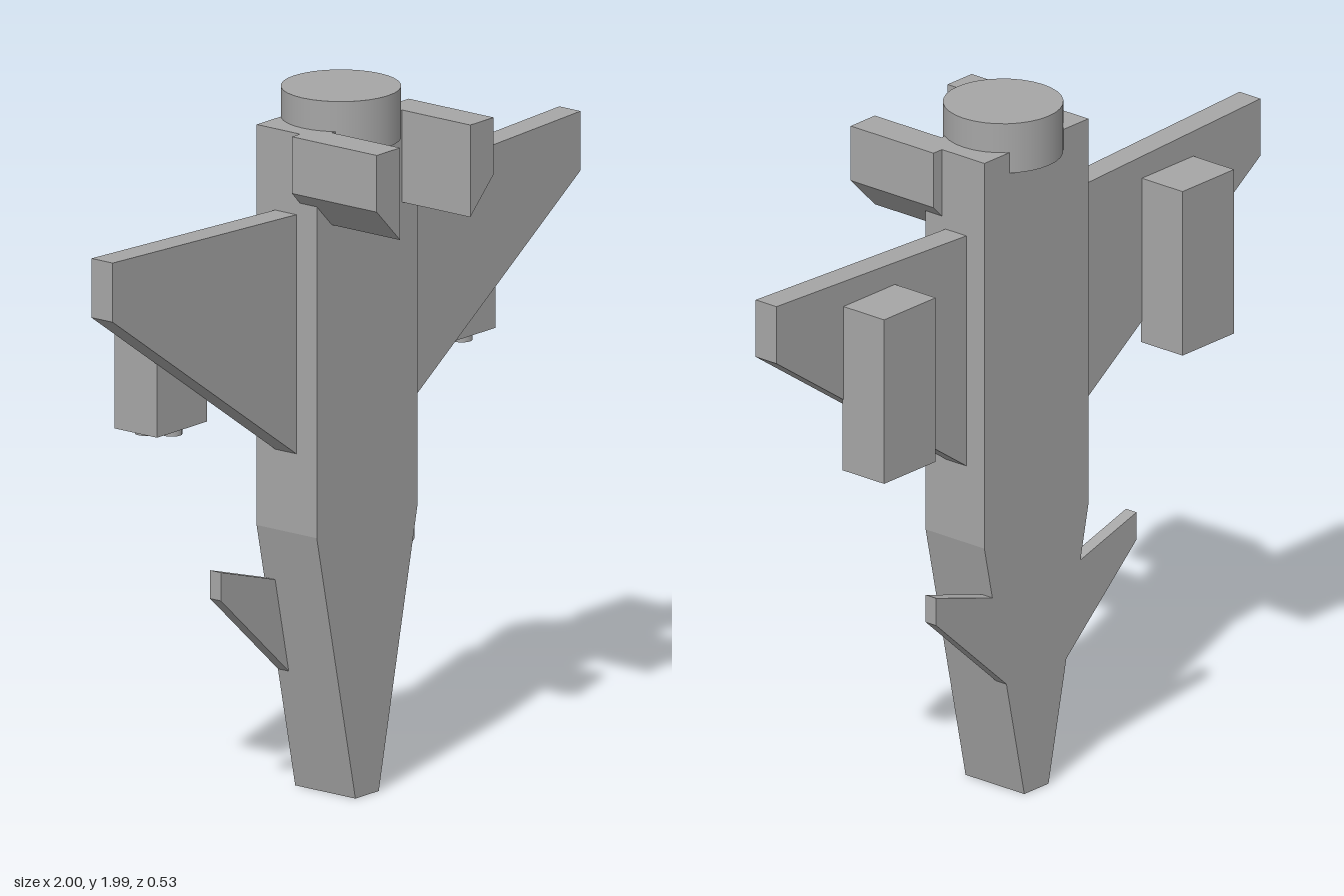
import * as THREE from 'three';

const gray = new THREE.MeshStandardMaterial({ color: 0xa6a6a6 });
gray.name = 'hull gray';

// Flat plate: an outline in x/y, extruded from z0 to z1
function plate(name, points, z0, z1) {
  const shape = new THREE.Shape(points.map(([x, y]) => new THREE.Vector2(x, y)));
  const geometry = new THREE.ExtrudeGeometry(shape, { depth: z1 - z0, bevelEnabled: false });
  geometry.translate(0, 0, z0);
  const mesh = new THREE.Mesh(geometry, gray);
  mesh.name = name;
  return mesh;
}

function cylinder(name, radius, y0, y1, x, z, sides) {
  const mesh = new THREE.Mesh(new THREE.CylinderGeometry(radius, radius, y1 - y0, sides), gray);
  mesh.position.set(x, (y0 + y1) / 2, z);
  mesh.name = name;
  return mesh;
}

export function createModel() {
  const model = new THREE.Group();
  model.name = 'jet';

  // Fuselage with its tapered nose pointing down
  model.add(plate('fuselage', [
    [-0.05, 0], [0.05, 0], [0.215, 0.77], [0.215, 1.9], [-0.215, 1.9], [-0.215, 0.77],
  ], -0.185, 0.027));

  // Engine nozzle at the tail
  model.add(cylinder('nozzle', 0.164, 1.84, 1.985, 0, -0.065, 32));

  for (const [side, s] of [['left', 1], ['right', -1]]) {
    const mirror = (points) => points.map(([x, y]) => [s * x, y]);

    model.add(plate(side + 'Wing', mirror([
      [0.21, 0.992], [1, 1.535], [1, 1.702], [0.21, 1.67],
    ]), -0.12, -0.045));

    model.add(plate(side + 'Canard', mirror([
      [0.122, 0.343], [0.414, 0.605], [0.414, 0.685], [0.18, 0.615],
    ]), -0.185, -0.147));

    model.add(plate(side + 'TailFin', mirror([
      [0.15, 1.64], [0.25, 1.74], [0.25, 1.9], [0.15, 1.9],
    ]), -0.032, 0.267));

    // Launcher pod behind the wing with three tips showing below
    const pod = new THREE.Group();
    pod.name = side + 'Pod';
    pod.add(plate('podBody', mirror([
      [0.51, 1.137], [0.723, 1.137], [0.723, 1.618], [0.51, 1.618],
    ]), -0.267, -0.117));
    for (const [x, z] of [[0.58, -0.21], [0.66, -0.21], [0.62, -0.15]]) {
      pod.add(cylinder('podTip', 0.029, 1.12, 1.15, s * x, z, 16));
    }
    model.add(pod);
  }
  return model;
}
